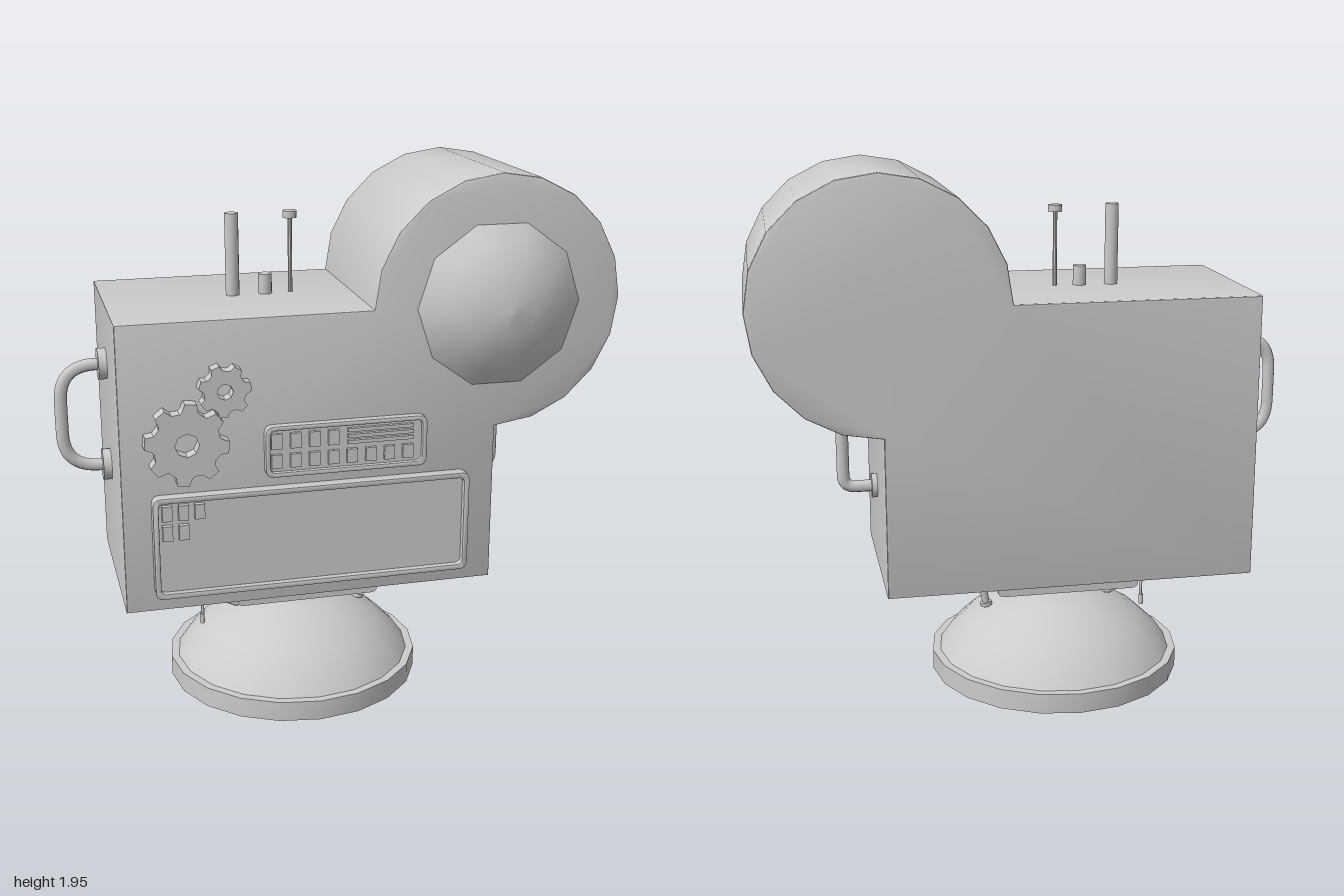
import * as THREE from 'three';
import { toCreasedNormals } from 'three/addons/utils/BufferGeometryUtils.js';

const Z0 = -0.01;      // depth of the central plane
const FRONT = 0.345;   // front face of the casing
const BACK = -0.365;

export function createModel() {
  const model = new THREE.Group();
  const mat = new THREE.MeshStandardMaterial({ color: 0xcccccc });

  const add = (name, geo, x = 0, y = 0, z = 0, parent = model) => {
    const m = new THREE.Mesh(geo, mat);
    m.name = name;
    m.position.set(x, y, z);
    parent.add(m);
    return m;
  };
  const group = (name) => {
    const g = new THREE.Group();
    g.name = name;
    model.add(g);
    return g;
  };
  const v = (x, y, z = Z0) => new THREE.Vector3(x, y, z);
  const crease = (geo, a = 0.6) => toCreasedNormals(geo, a);
  const rod = (name, r, x, y0, y1, sides = 12, parent = model) =>
    add(name, crease(new THREE.CylinderGeometry(r, r, y1 - y0, sides), 0.9), x, (y0 + y1) / 2, Z0, parent);

  // Short disc whose axis follows dir
  const collar = (name, r, h, pos, dir, parent) => {
    const m = add(name, crease(new THREE.CylinderGeometry(r, r, h, 12), 0.9), 0, 0, 0, parent);
    m.position.copy(pos);
    m.quaternion.setFromUnitVectors(new THREE.Vector3(0, 1, 0), dir.clone().normalize());
    return m;
  };

  // Pipe along straight runs with rounded corners
  const pipe = (name, pts, bend, r, parent) => {
    const path = new THREE.CurvePath();
    let from = pts[0];
    for (let i = 1; i < pts.length - 1; i++) {
      const p = pts[i];
      const a = p.clone().add(pts[i - 1].clone().sub(p).setLength(bend));
      const b = p.clone().add(pts[i + 1].clone().sub(p).setLength(bend));
      path.add(new THREE.LineCurve3(from, a));
      path.add(new THREE.QuadraticBezierCurve3(a, p, b));
      from = b;
    }
    path.add(new THREE.LineCurve3(from, pts[pts.length - 1]));
    add(name, new THREE.TubeGeometry(path, 40, r, 8), 0, 0, 0, parent);
  };

  // Rounded rectangle outline
  const roundRect = (x0, y0, x1, y1, r, Type = THREE.Shape) => {
    const s = new Type();
    s.moveTo(x0 + r, y0);
    s.lineTo(x1 - r, y0);
    s.quadraticCurveTo(x1, y0, x1, y0 + r);
    s.lineTo(x1, y1 - r);
    s.quadraticCurveTo(x1, y1, x1 - r, y1);
    s.lineTo(x0 + r, y1);
    s.quadraticCurveTo(x0, y1, x0, y1 - r);
    s.lineTo(x0, y0 + r);
    s.quadraticCurveTo(x0, y0, x0 + r, y0);
    return s;
  };
  const extrude = (shape, depth, bevel = 0) => crease(new THREE.ExtrudeGeometry(shape, {
    depth: depth - 2 * bevel, curveSegments: 4, bevelEnabled: bevel > 0,
    bevelSize: bevel, bevelOffset: -bevel, bevelThickness: bevel, bevelSegments: 2,
  }));

  // Casing: box joined with a 20-sided drum
  const outline = [[-0.81, 0.445], [0.54, 0.445]];
  for (let i = 0; i <= 15; i++) {
    const a = -Math.PI / 2 + (i * Math.PI) / 10;
    outline.push([0.54 + 0.455 * Math.cos(a), 1.49 + 0.455 * Math.sin(a)]);
  }
  outline.push([-0.81, 1.49]);
  const casing = new THREE.Shape(outline.map((p) => new THREE.Vector2(...p)));
  add('casing', extrude(casing, FRONT - BACK, 0.008), 0, 0, BACK + 0.008);

  // Domed eye on the drum
  const R = 0.39, half = Math.asin(0.3 / R);
  const capPts = [];
  for (let i = 0; i <= 4; i++) {
    const a = half * (1 - i / 4);
    capPts.push(new THREE.Vector2(R * Math.sin(a), R * (Math.cos(a) - Math.cos(half))));
  }
  const eye = add('eyeDome', new THREE.LatheGeometry(capPts, 10, Math.PI / 2), 0.54, 1.483, FRONT);
  eye.rotation.x = Math.PI / 2;

  // Gears
  const gear = (name, x, y, r, hole, teeth, turn, depth) => {
    const s = new THREE.Shape();
    for (let i = 0; i < teeth; i++) {
      [[0, 0.78], [0.3, 0.82], [0.42, 1], [0.78, 1], [0.9, 0.82]].forEach(([t, k], j) => {
        const a = turn + ((i + t) / teeth) * Math.PI * 2;
        s[i + j ? 'lineTo' : 'moveTo'](r * k * Math.cos(a), r * k * Math.sin(a));
      });
    }
    s.closePath();
    s.holes.push(new THREE.Path().absarc(0, 0, hole, 0, Math.PI * 2, true));
    add(name, extrude(s, depth), x, y, FRONT - 0.001);
  };
  gear('largeGear', -0.585, 1.07, 0.147, 0.042, 8, 0.2, 0.052);
  gear('smallGear', -0.45, 1.25, 0.092, 0.028, 7, 0.5, 0.05);

  // Framed control panels with keys
  const panel = (name, x0, y0, x1, y1, rim, depth) => {
    const g = group(name);
    const frame = roundRect(x0, y0, x1, y1, 0.03);
    frame.holes.push(roundRect(x0 + rim, y0 + rim, x1 - rim, y1 - rim, 0.02, THREE.Path));
    add('panelFrame', extrude(frame, depth, 0.003), 0, 0, FRONT + 0.003, g);
    add('panelFace', new THREE.BoxGeometry(x1 - x0 - rim, y1 - y0 - rim, depth * 0.5),
      (x0 + x1) / 2, (y0 + y1) / 2, FRONT + depth * 0.25, g);
    return (x, y, w, h, part = 'key') =>
      add(part, new THREE.BoxGeometry(w, h, depth * 0.9), x, y, FRONT + depth * 0.45, g);
  };
  const lowerKey = panel('lowerPanel', -0.71, 0.505, 0.435, 0.882, 0.02, 0.045);
  for (let i = 0; i < 5; i++) lowerKey(-0.66 + (i % 3) * 0.057, i < 3 ? 0.823 : 0.75, 0.035, 0.055);
  const upperKey = panel('upperPanel', -0.31, 0.92, 0.275, 1.107, 0.017, 0.032);
  for (let i = 0; i < 8; i++) {
    upperKey(-0.27 + i * 0.068, 0.977, 0.038, 0.05);
    if (i < 4) upperKey(-0.27 + i * 0.068, 1.05, 0.038, 0.055);
  }
  for (let i = 0; i < 3; i++) upperKey(0.105, 1.028 + i * 0.022, 0.24, 0.013, 'grilleBar');

  // Side handle
  const handle = group('sideHandle');
  pipe('handleBar', [v(-0.81, 1.265), v(-0.977, 1.265), v(-0.977, 0.885), v(-0.81, 0.885)], 0.13, 0.023, handle);
  for (const y of [1.265, 0.885]) collar('handleCollar', 0.058, 0.03, v(-0.825, y), v(1, 0, 0), handle);

  // Elbow pipe between casing and drum
  const elbow = group('elbowPipe');
  pipe('elbowTube', [v(0.53, 0.76), v(0.663, 0.76), v(0.663, 1.08)], 0.045, 0.023, elbow);
  collar('elbowWallCollar', 0.046, 0.02, v(0.55, 0.76), v(1, 0, 0), elbow);
  collar('elbowDrumCollar', 0.052, 0.024, v(0.658, 1.05), v(-0.25, 1, 0), elbow);

  // Rods on top
  rod('tallRod', 0.025, -0.345, 1.48, 1.785);
  rod('shortRod', 0.025, -0.226, 1.48, 1.562);
  const antenna = group('antenna');
  rod('antennaStem', 0.008, -0.133, 1.48, 1.765, 8, antenna);
  rod('antennaCap', 0.026, -0.133, 1.76, 1.785, 8, antenna);

  // Mount plate and stem
  const plate = add('mountPlate', extrude(roundRect(-0.4, 0.387, 0.13, 0.48, 0.025), 0.54), 0, 0, -0.28);
  plate.geometry.computeBoundingBox();
  rod('neck', 0.034, -0.137, 0.29, 0.41);

  // Domed base
  const base = group('base');
  const disc = new THREE.CylinderGeometry(0.476, 0.476, 0.075, 20);
  add('baseDisc', crease(disc), -0.137, 0.0375, Z0, base);
  const dome = [[0.45, 0.07], [0.405, 0.135], [0.335, 0.2], [0.25, 0.252], [0.165, 0.288], [0.08, 0.306], [0, 0.312]];
  add('baseDome', new THREE.LatheGeometry(dome.map((p) => new THREE.Vector2(...p)), 20), -0.137, 0, Z0, base);

  // Hoses from casing to base, and a loose wire
  const hose = (name, pts, r) => {
    const g = group(name);
    const path = pts.map((p) => v(...p));
    add('hoseTube', new THREE.TubeGeometry(new THREE.CatmullRomCurve3(path), 24, r, 8), 0, 0, 0, g);
    return [g, path];
  };
  const hoses = [
    ['leftHose', [[-0.432, 0.45], [-0.43, 0.36], [-0.4, 0.3], [-0.335, 0.265]]],
    ['rightHose', [[0.193, 0.45], [0.187, 0.375], [0.145, 0.32], [0.13, 0.255]]],
  ];
  for (const [name, pts] of hoses) {
    const [g, path] = hose(name, pts, 0.014);
    collar('upperCollar', 0.023, 0.022, v(path[0].x, 0.434), v(0, 1, 0), g);
    collar('lowerCollar', 0.023, 0.014, path[3], path[3].clone().sub(path[2]), g);
  }
  const [wire] = hose('looseWire', [[-0.497, 0.45], [-0.497, 0.36], [-0.488, 0.28], [-0.49, 0.21]], 0.006);
  collar('wireTip', 0.009, 0.04, v(-0.49, 0.225), v(0, 1, 0), wire);

  return model;
}
